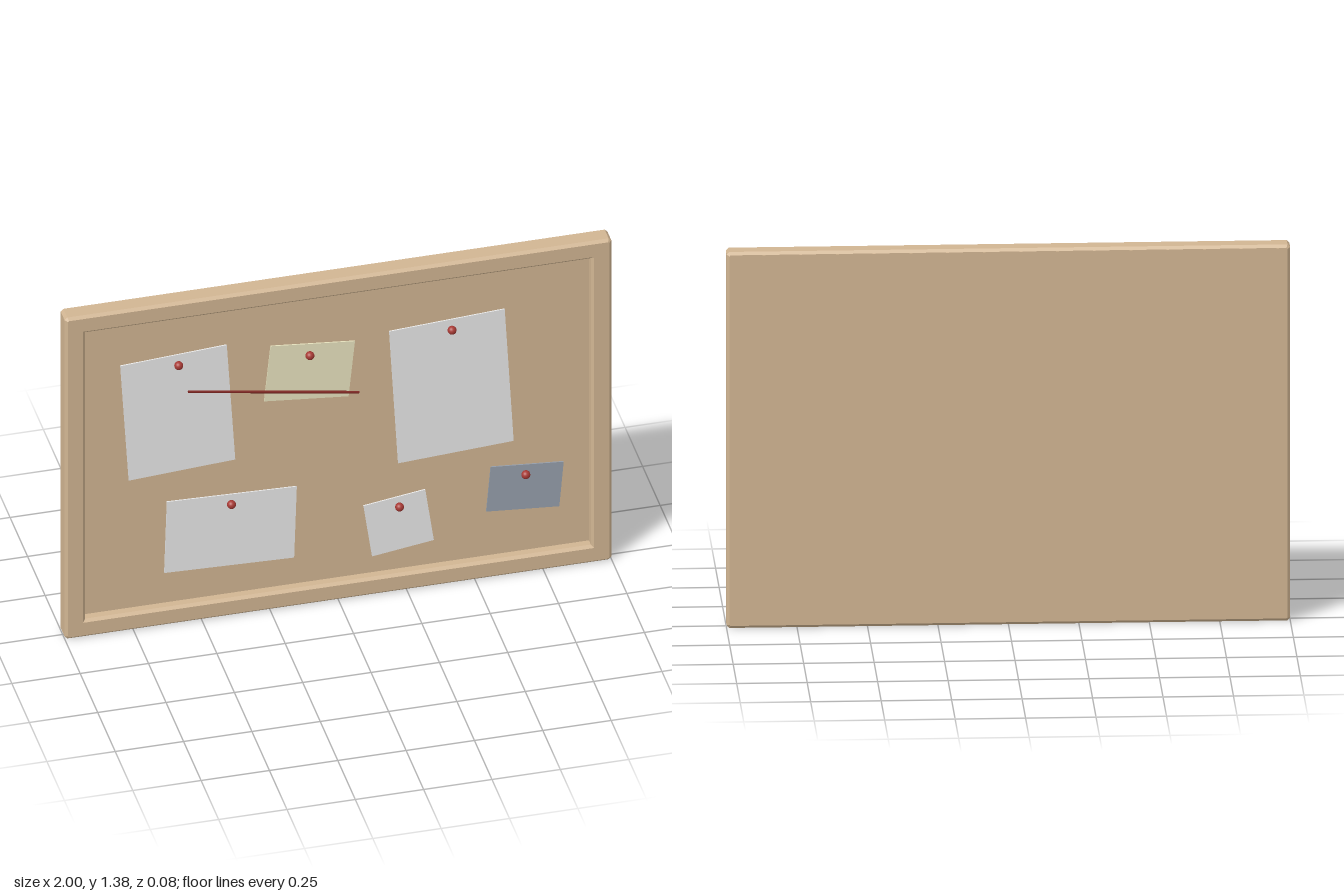
import * as THREE from 'three';

const mat = (name, color) => {
  const m = new THREE.MeshStandardMaterial({ color });
  m.name = name;
  return m;
};

const H = 1.385, MID = H / 2, BEVEL = 0.01, CORK_Z = 0.001;

export function createModel() {
  const group = new THREE.Group();
  group.name = 'pinBoard';

  const cork = mat('tan cork and wood', 0xd1b592);
  const white = mat('white paper', 0xe8e8e8);
  const yellow = mat('yellow paper', 0xe8e4bf);
  const blue = mat('blue grey photo', 0x969fab);
  const red = mat('red pin', 0xa83a35);
  const darkRed = mat('dark red string', 0x80241f);

  const add = (name, geometry, material, x = 0, y = 0, z = 0, rot = 0) => {
    const mesh = new THREE.Mesh(geometry, material);
    mesh.name = name;
    mesh.position.set(x, y, z);
    mesh.rotation.z = rot;
    group.add(mesh);
    return mesh;
  };

  // Frame: chamfered outline with a bevelled rectangular opening
  const w = 1 - BEVEL, h = MID - BEVEL, c = 0.004;
  const outline = new THREE.Shape([
    [-w + c, -h], [w - c, -h], [w, -h + c], [w, h - c],
    [w - c, h], [-w + c, h], [-w, h - c], [-w, -h + c],
  ].map(([x, y]) => new THREE.Vector2(x, y)));
  const iw = 0.935, ih = 0.628;
  outline.holes.push(new THREE.Path([
    [-iw, -ih], [-iw, ih], [iw, ih], [iw, -ih],
  ].map(([x, y]) => new THREE.Vector2(x, y))));
  const frame = new THREE.ExtrudeGeometry(outline, {
    depth: 0.056, bevelEnabled: true, bevelThickness: BEVEL, bevelSize: BEVEL, bevelSegments: 1,
  });
  frame.translate(0, 0, -0.028);
  add('frame', frame, cork, 0, MID, 0);

  // Recessed board and the flat back that closes the frame
  add('corkBoard', new THREE.BoxGeometry(1.87, 1.26, 0.036), cork, 0, MID, CORK_Z - 0.018);
  add('backPanel', new THREE.BoxGeometry(1.978, 1.363, 0.002), cork, 0, MID, -0.0375);

  // Sheets: name, material, centre x, y, width, height, tilt, pin x, y
  const sheets = [
    ['tallSheetLeft', white, -0.58, 0.888, 0.39, 0.5, 0.062, -0.58, 1.1],
    ['yellowNote', yellow, -0.098, 0.984, 0.31, 0.235, -0.1, -0.1, 1.06],
    ['tallSheetRight', white, 0.421, 0.83, 0.423, 0.575, 0.057, 0.42, 1.08],
    ['wideSheet', white, -0.387, 0.35, 0.475, 0.305, -0.032, -0.387, 0.467],
    ['smallNote', white, 0.228, 0.273, 0.228, 0.225, 0.14, 0.228, 0.35],
    ['photo', blue, 0.69, 0.35, 0.268, 0.19, -0.085, 0.69, 0.41],
  ];
  const pinHead = new THREE.SphereGeometry(0.016, 20, 14);
  for (const [name, material, x, y, sw, sh, tilt, px, py] of sheets) {
    add(name, new THREE.BoxGeometry(sw, sh, 0.005), material, x, y, CORK_Z + 0.0025, tilt);
    add(name + 'Pin', pinHead, red, px, py, 0.018);
  }

  // String stretched across the upper sheets
  const a = new THREE.Vector3(-0.545, 0.98, 0.016), b = new THREE.Vector3(0.08, 0.87, 0.016);
  add('string', new THREE.TubeGeometry(new THREE.LineCurve3(a, b), 1, 0.005, 8), darkRed);
  for (const [p, dir] of [[a, -1], [b, 1]]) {
    const cap = add('stringEnd', new THREE.CircleGeometry(0.005, 8), darkRed, p.x, p.y, p.z);
    cap.lookAt(p.clone().addScaledVector(b.clone().sub(a), dir));
  }

  return group;
}
